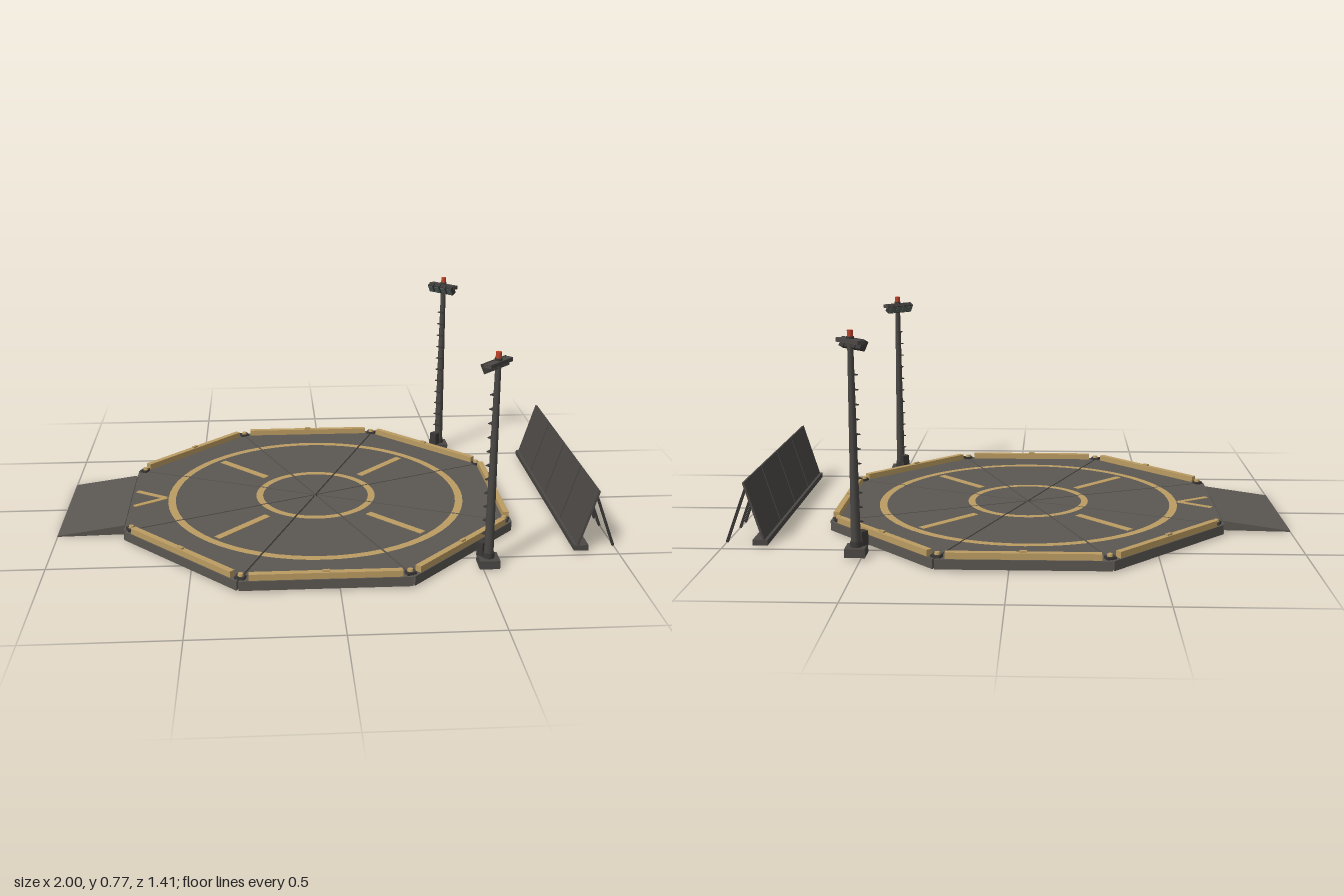
import * as THREE from 'three';

const flat = (color, name, side = THREE.FrontSide) => {
  const m = new THREE.MeshStandardMaterial({ color, side });
  m.name = name;
  return m;
};

export function createModel() {
  const deckGrey = flat(0x5b5752, 'deck grey');
  const steel = flat(0x4b4845, 'dark steel');
  const iron = flat(0x3b3937, 'black iron');
  const paint = flat(0xbb9c62, 'tan paint');
  const red = flat(0xc0452c, 'beacon red');
  const glass = flat(0x56645e, 'lamp glass');

  const root = new THREE.Group();
  root.name = 'landingPad';

  const add = (parent, name, geo, mat, x = 0, y = 0, z = 0) => {
    const m = new THREE.Mesh(geo, mat);
    m.name = name;
    m.position.set(x, y, z);
    parent.add(m);
    return m;
  };
  const box = (parent, name, mat, w, h, d, x, y, z) =>
    add(parent, name, new THREE.BoxGeometry(w, h, d), mat, x, y, z);
  const group = (name, parent, x = 0, z = 0, turn = 0) => {
    const g = new THREE.Group();
    g.name = name;
    g.position.set(x, 0, z);
    g.rotation.y = turn;
    parent.add(g);
    return g;
  };
  // Square bar between two points in the x-y plane
  const bar = (parent, name, mat, x0, y0, x1, y1, thick, depth, z) => {
    const m = box(parent, name, mat, thick, Math.hypot(x1 - x0, y1 - y0), depth,
      (x0 + x1) / 2, (y0 + y1) / 2, z);
    m.rotation.z = -Math.atan2(x1 - x0, y1 - y0);
    return m;
  };

  // Octagonal deck: eight wedges with thin gaps between them
  const apothem = 0.707, top = 0.04, tip = 0.008;
  const half = Math.tan(Math.PI / 8) * (apothem - tip);
  const pad = group('pad', root, -0.047);
  const wedge = new THREE.Shape([
    new THREE.Vector2(tip, 0), new THREE.Vector2(apothem, -half), new THREE.Vector2(apothem, half)]);
  const wedgeGeo = new THREE.ExtrudeGeometry(wedge, { depth: top - 0.006, bevelEnabled: false });
  wedgeGeo.rotateX(-Math.PI / 2);

  for (let i = 0; i < 8; i++) {
    const sector = group('sector', pad, 0, 0, i * Math.PI / 4);
    add(sector, 'deckWedge', wedgeGeo, deckGrey, 0, 0.006, 0);

    // Painted circles, one arc per wedge
    for (const [r0, r1] of [[0.538, 0.567], [0.203, 0.229]]) {
      const a = Math.PI / 8 - 0.004 / r1;
      const arc = new THREE.RingGeometry(r0, r1, 8, 1, -a, 2 * a);
      arc.rotateX(-Math.PI / 2);
      add(sector, 'paintedArc', arc, paint, 0, top + 0.002, 0);
    }
    // Diagonal dashes
    if (i % 2) box(sector, 'paintedDash', paint, 0.255, 0.002, 0.028, 0.393, top + 0.001, 0);

    // Edge curb, left open at the ramp
    if (i !== 4) {
      box(sector, 'curb', paint, 0.022, 0.022, 0.51, apothem - 0.015, top + 0.011, 0);
      box(sector, 'curbLamp', paint, 0.012, 0.006, 0.024, apothem - 0.015, top + 0.025, 0);
    }
    // Corner block with its marker lamp
    const corner = group('corner', pad, 0, 0, (i + 0.5) * Math.PI / 4);
    box(corner, 'cornerBlock', iron, 0.026, 0.009, 0.034, 0.738, top + 0.0045, 0);
    add(corner, 'cornerLamp', new THREE.CylinderGeometry(0.009, 0.011, 0.008, 8), paint, 0.735, top + 0.013, 0);
  }

  // Painted arrow pointing in from the ramp
  for (const s of [-1, 1]) {
    const arm = box(root, 'paintedArrow', paint, 0.138, 0.002, 0.02, -0.68, top + 0.001, s * 0.035);
    arm.rotation.y = s * 0.55;
  }

  // Access ramp
  const rampShape = new THREE.Shape([
    new THREE.Vector2(-1, 0), new THREE.Vector2(-0.756, 0.004),
    new THREE.Vector2(-0.756, top - 0.001), new THREE.Vector2(-1, 0.004)]);
  add(root, 'ramp', new THREE.ExtrudeGeometry(rampShape, { depth: 0.48, bevelEnabled: false }),
    deckGrey, 0, 0, -0.24);

  // Floodlight towers, local +x faces the pad
  for (const s of [-1, 1]) {
    const tower = group('lightTower', root, 0.52, s * 0.565, Math.atan2(s, -1));
    const foot = box(tower, 'towerFoot', steel, 0.07, 0.03, 0.07, 0, 0.02, 0);
    foot.rotation.y = Math.PI / 4;
    box(tower, 'junctionBox', iron, 0.025, 0.05, 0.03, 0.028, 0.06, 0);
    add(tower, 'mast', new THREE.CylinderGeometry(0.01, 0.017, 0.69, 8), steel, 0, 0.38, 0);
    add(tower, 'mastCollar', new THREE.CylinderGeometry(0.019, 0.021, 0.02, 8), iron, 0, 0.045, 0);
    for (let i = 0; i < 11; i++)
      box(tower, 'rung', iron, 0.014, 0.003, 0.024, 0.018 - i * 0.0006, 0.12 + i * 0.05, 0);
    box(tower, 'crossBar', steel, 0.03, 0.014, 0.124, 0, 0.732, 0);
    for (let i = 0; i < 4; i++) {
      const lamp = group('floodlight', tower, 0.012, (i - 1.5) * 0.031);
      lamp.position.y = 0.722;
      lamp.rotation.z = -0.5;
      box(lamp, 'lampHousing', iron, 0.022, 0.034, 0.026, 0, 0, 0);
      box(lamp, 'lampGlass', glass, 0.003, 0.027, 0.02, 0.012, 0, 0);
    }
    add(tower, 'beaconBase', new THREE.CylinderGeometry(0.013, 0.013, 0.008, 8), iron, 0, 0.743, 0);
    add(tower, 'beacon', new THREE.CylinderGeometry(0.01, 0.01, 0.022, 8), red, 0, 0.757, 0);
  }

  // Blast screen: four leaning panels, each with a footing and two struts
  for (let i = 0; i < 4; i++) {
    const screen = group('blastScreen', root, 0, (i - 1.5) * 0.237);
    box(screen, 'screenFooting', steel, 0.052, 0.02, 0.235, 0.871, 0.014, 0);
    bar(screen, 'screenPanel', steel, 0.857, 0.015, 0.922, 0.228, 0.008, 0.229, 0);
    for (const s of [-1, 1])
      bar(screen, 'screenStrut', iron, 0.922, 0.202, 0.995, 0.006, 0.009, 0.009, s * 0.085);
  }
  return root;
}
